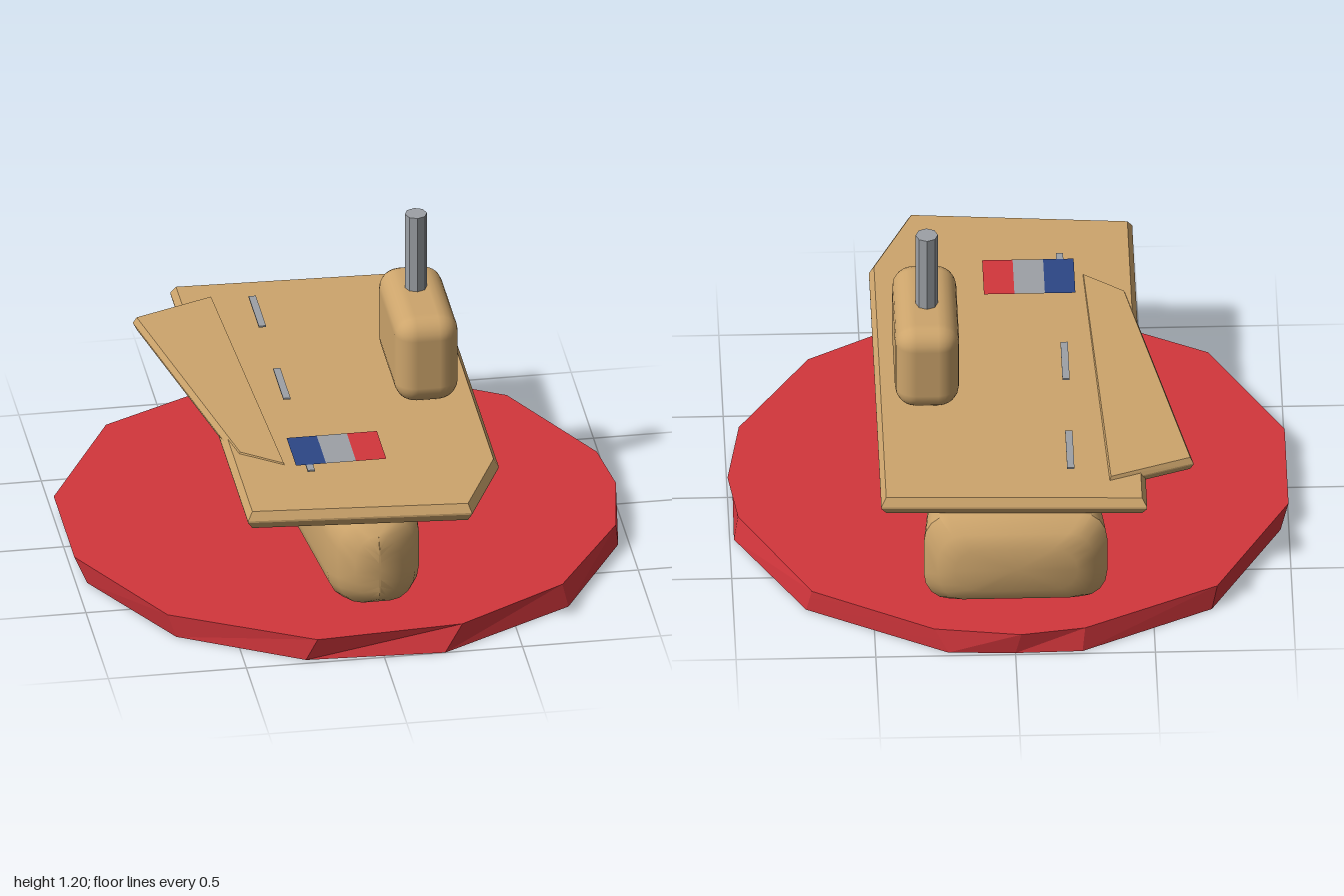
import * as THREE from 'three';
import { toCreasedNormals } from 'three/addons/utils/BufferGeometryUtils.js';
import { RoundedBoxGeometry } from 'three/addons/geometries/RoundedBoxGeometry.js';

function material(name, color) {
  const m = new THREE.MeshStandardMaterial({ color, side: THREE.DoubleSide });
  m.name = name;
  return m;
}

// Skin a list of equal-length rings and cap both ends with fans
function loft(rings, crease) {
  const n = rings[0].length, pos = [], idx = [];
  rings.forEach(r => r.forEach(p => pos.push(...p)));
  for (let i = 0; i < rings.length - 1; i++) {
    for (let j = 0; j < n; j++) {
      const a = i * n + j, b = i * n + (j + 1) % n;
      idx.push(a, b, b + n, a, b + n, a + n);
    }
  }
  [0, rings.length - 1].forEach((r, end) => {
    const centre = pos.length / 3;
    for (let k = 0; k < 3; k++) pos.push(rings[r].reduce((s, p) => s + p[k], 0) / n);
    for (let j = 0; j < n; j++) {
      const a = r * n + j, b = r * n + (j + 1) % n;
      if (end) idx.push(centre, a, b);
      else idx.push(centre, b, a);
    }
  });
  const g = new THREE.BufferGeometry();
  g.setAttribute('position', new THREE.Float32BufferAttribute(pos, 3));
  g.setIndex(idx);
  return toCreasedNormals(g, crease);
}

// Rounded rectangle cross-section of the hull at z
function hullRing([z, w, h]) {
  const pts = [], rx = Math.min(0.09, w), ry = Math.min(0.11, h), steps = 4;
  for (let q = 0; q < 4; q++) {
    const sx = q === 0 || q === 3 ? 1 : -1, sy = q < 2 ? 1 : -1;
    for (let s = 0; s <= steps; s++) {
      const t = (q + s / steps) * Math.PI / 2;
      pts.push([sx * (w - rx) + rx * Math.cos(t) - 0.005, 0.312 + sy * (h - ry) + ry * Math.sin(t), z]);
    }
  }
  return pts;
}

// Flat slab with a ridge around its edge; outline is in x, z
function slab(outline, top, height, bevel) {
  const shape = new THREE.Shape(outline.map(p => new THREE.Vector2(...p)));
  const g = new THREE.ExtrudeGeometry(shape, {
    depth: height * 0.1, bevelEnabled: true, bevelSegments: 1,
    bevelThickness: height * 0.45, bevelSize: bevel, bevelOffset: -bevel,
  });
  g.rotateX(Math.PI / 2);
  g.translate(0, top - height * 0.45, 0);
  return g;
}

export function createModel() {
  const model = new THREE.Group();
  model.name = 'carrierShip';
  const tan = material('tan', 0xcda56c);
  const red = material('red', 0xd2363c);
  const blue = material('blue', 0x2d4685);
  const grey = material('grey', 0x9da1a6);

  const add = (name, geometry, mat, x = 0, y = 0, z = 0) => {
    const mesh = new THREE.Mesh(geometry, mat);
    mesh.name = name;
    mesh.position.set(x, y, z);
    model.add(mesh);
    return mesh;
  };

  // Uneven many-sided base disc
  const bottomRing = [[0.98, 0.1], [0.985, -0.26], [0.74, -0.7], [0.24, -0.98], [0, -0.99], [-0.24, -0.985],
    [-0.71, -0.74], [-0.97, -0.26], [-0.96, 0.28], [-0.71, 0.73], [-0.28, 0.975], [0.22, 1], [0.71, 0.73], [0.96, 0.3]];
  const topRing = [[1, 0], [0.97, -0.24], [0.72, -0.71], [0.29, -0.955], [-0.02, -1], [-0.25, -0.965],
    [-0.73, -0.72], [-1, -0.22], [-1, 0.24], [-0.74, 0.72], [-0.24, 0.99], [0.29, 0.955], [0.69, 0.72], [0.95, 0.31]];
  add('base', loft([
    bottomRing.map(([x, z]) => [x, 0, z]),
    topRing.map(([x, z]) => [x, 0.087, z]),
  ], 0.05), red);

  // Hull, tapering from a blunt stern to a narrow bow: z, half width, half height
  add('hull', loft([
    [-0.92, 0.22, 0.09], [-0.895, 0.28, 0.14], [-0.83, 0.328, 0.181],
    [0.78, 0.165, 0.181], [0.85, 0.14, 0.165], [0.9, 0.085, 0.13], [0.93, 0.004, 0.09],
  ].map(hullRing), 0.75), tan);

  // Main deck and the angled deck at its side
  add('mainDeck', slab([[-0.475, -0.855], [0.475, -0.825], [0.475, 0.62], [0.325, 0.95], [-0.475, 0.885]],
    0.562, 0.067, 0.018), tan);
  const angled = add('angledDeck', slab([[-0.648, -0.62], [-0.342, -0.735], [-0.283, 0.548], [-0.44, 0.435]],
    0.571, 0.05, 0.01), tan);
  angled.rotation.x = 0.006;

  // Command tower and mast
  add('tower', new RoundedBoxGeometry(0.23, 0.34, 0.485, 3, 0.075), tan, 0.293, 0.73, -0.05);
  add('mast', toCreasedNormals(new THREE.CylinderGeometry(0.04, 0.04, 0.31, 8), 0.3), grey, 0.29, 1.043, -0.087);

  // Runway dashes
  for (const z of [-0.565, -0.017, 0.53]) {
    add('runwayDash', new THREE.BoxGeometry(0.026, 0.006, 0.227), grey, -0.207, 0.585, z);
  }

  // Striped deck panel
  [blue, grey, red].forEach((mat, i) => {
    const stripe = new THREE.PlaneGeometry(0.109, 0.21).rotateX(-Math.PI / 2);
    add('panelStripe', stripe, mat, -0.202 + i * 0.109, 0.59, 0.5);
  });

  return model;
}
